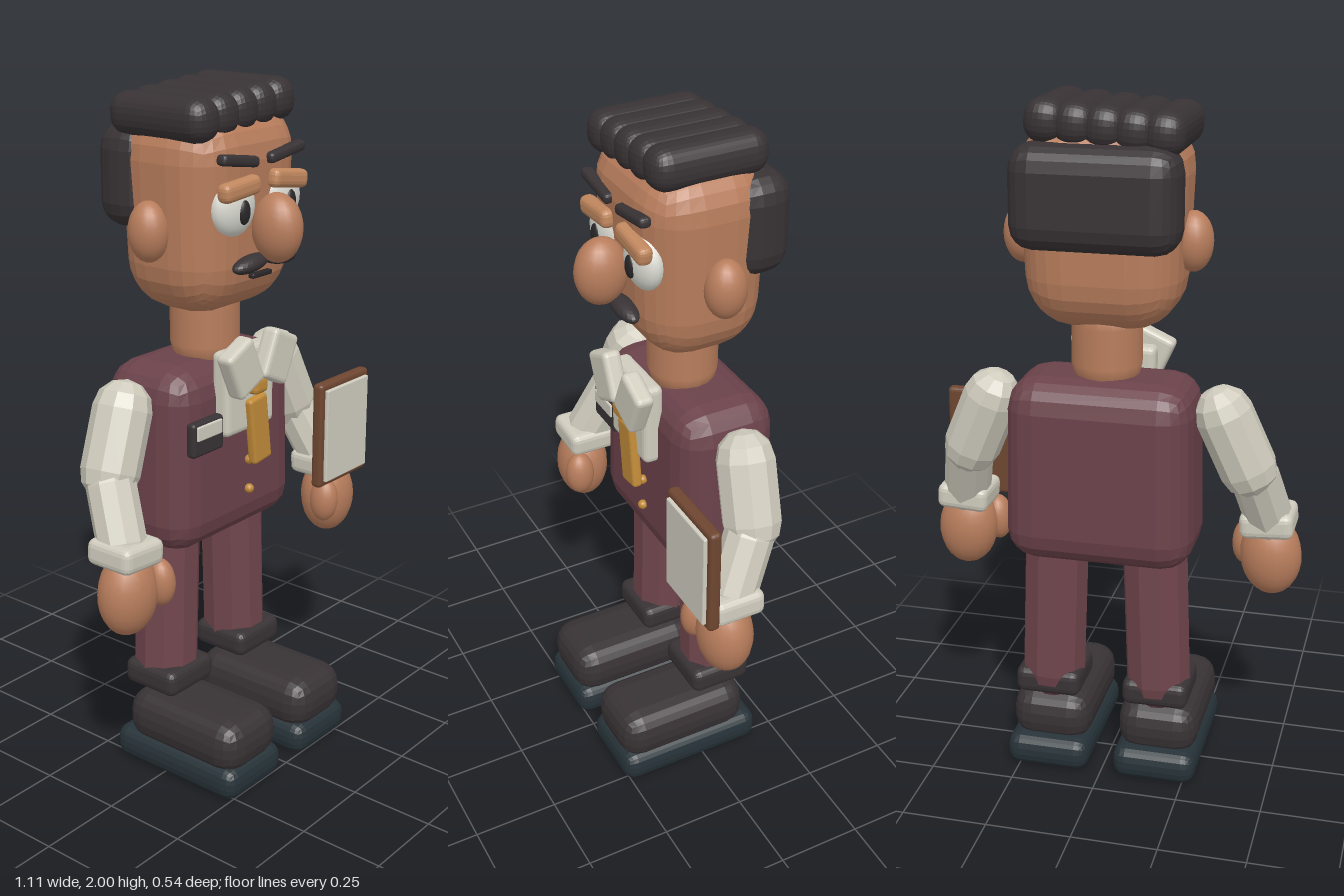
import * as THREE from 'three';
import { RoundedBoxGeometry } from 'three/addons/geometries/RoundedBoxGeometry.js';

const mat = (color, flatShading = true) => new THREE.MeshStandardMaterial({ color, flatShading });
const skin = mat(0xb87d5c), skinSmooth = mat(0xb87d5c, false), lid = mat(0xc0875e);
const vest = mat(0x6b424a), trousers = mat(0x70464d), shirt = mat(0xcfcbbd);
const dark = mat(0x383234), sole = mat(0x263238), gold = mat(0xc08a38);
const wood = mat(0x6e4630), paper = mat(0xd0ccc0);
const white = mat(0xdcdcd4, false), black = mat(0x2a2628, false);

export function createModel() {
  const model = new THREE.Group();

  const add = (parent, name, geometry, material, pos, rot = [0, 0, 0]) => {
    const mesh = new THREE.Mesh(geometry, material);
    mesh.name = name;
    mesh.position.set(...pos);
    mesh.rotation.set(...rot);
    parent.add(mesh);
    return mesh;
  };
  const box = (parent, name, material, size, radius, pos, rot, segments = 2) =>
    add(parent, name, new RoundedBoxGeometry(...size, segments, radius), material, pos, rot);
  const ball = (parent, name, material, radii, pos, rot) =>
    add(parent, name, new THREE.SphereGeometry(1, 20, 14).scale(...radii), material, pos, rot);
  // Capsule whose end spheres are centred on a and b
  const limb = (parent, name, material, radius, a, b, sides = 10) => {
    const p = new THREE.Vector3(...a), q = new THREE.Vector3(...b);
    const geometry = new THREE.CapsuleGeometry(radius, p.distanceTo(q), 3, sides);
    const mesh = add(parent, name, geometry, material, p.clone().add(q).multiplyScalar(0.5).toArray());
    mesh.quaternion.setFromUnitVectors(new THREE.Vector3(0, 1, 0), q.sub(p).normalize());
    return mesh;
  };
  // Scale x and z linearly from the bottom to the top of a geometry
  const taper = (geometry, low, high) => {
    geometry.computeBoundingBox();
    const { min, max } = geometry.boundingBox, p = geometry.attributes.position;
    for (let i = 0; i < p.count; i++) {
      const s = THREE.MathUtils.lerp(low, high, (p.getY(i) - min.y) / (max.y - min.y));
      p.setX(i, p.getX(i) * s);
      p.setZ(i, p.getZ(i) * s);
    }
    geometry.computeVertexNormals();
    return geometry;
  };

  // Legs, arms: the same on both sides
  for (const [side, s] of [['right', -1], ['left', 1]]) {
    const leg = new THREE.Group();
    leg.name = side + 'Leg';
    model.add(leg);
    box(leg, 'shoeSole', sole, [0.25, 0.1, 0.455], 0.04, [s * 0.163, 0.052, 0.042]);
    box(leg, 'shoeUpper', dark, [0.24, 0.16, 0.415], 0.065, [s * 0.163, 0.152, 0.058]);
    limb(leg, 'trouserLeg', trousers, 0.095, [s * 0.16, 0.31, -0.083], [s * 0.146, 0.72, -0.083]);
    box(leg, 'trouserCuff', dark, [0.195, 0.08, 0.19], 0.025, [s * 0.162, 0.285, -0.07]);

    const arm = new THREE.Group();
    arm.name = side + 'Arm';
    model.add(arm);
    limb(arm, 'upperSleeve', shirt, 0.083, [s * 0.335, 1.145, -0.075], [s * 0.405, 0.985, -0.06]);
    limb(arm, 'lowerSleeve', shirt, 0.07, [s * 0.42, 0.96, -0.045], [s * 0.455, 0.81, 0.025]);
    box(arm, 'sleeveCuff', shirt, [0.155, 0.075, 0.155], 0.022, [s * 0.455, 0.797, 0.037], [0, 0, s * 0.06]);
    ball(arm, 'hand', skinSmooth, [0.09, 0.122, 0.078], [s * 0.463, 0.682, 0.05], [0, 0, s * 0.08]);
    ball(arm, 'thumb', skinSmooth, [0.04, 0.07, 0.045], [s * 0.382, 0.697, 0.095], [0, 0, s * -0.05]);
  }

  // Torso and waistcoat details
  const torso = taper(new RoundedBoxGeometry(0.54, 0.54, 0.31, 2, 0.09), 1.01, 0.97);
  add(model, 'waistcoat', torso, vest, [0, 0.97, -0.082]);
  box(model, 'shirtFront', shirt, [0.215, 0.245, 0.06], 0.018, [-0.003, 1.157, 0.08]);
  for (const s of [-1, 1]) {
    box(model, 'collarFlap', shirt, [0.115, 0.145, 0.055], 0.015, [s * 0.077, 1.24, 0.13], [0, 0, -s * 0.43]);
  }
  box(model, 'tieKnot', gold, [0.062, 0.05, 0.045], 0.015, [0, 1.173, 0.125]);
  box(model, 'tie', gold, [0.078, 0.2, 0.03], 0.01, [0.02, 1.035, 0.115], [0, 0, 0.13]);
  for (const y of [0.84, 0.93]) ball(model, 'button', gold, [0.014, 0.014, 0.014], [0.027, y, 0.08]);
  box(model, 'badge', dark, [0.13, 0.1, 0.03], 0.01, [-0.177, 1.06, 0.085]);
  box(model, 'badgeLabel', paper, [0.105, 0.042, 0.01], 0.004, [-0.177, 1.08, 0.101]);

  // Clipboard in front of the left hand
  const clipboard = new THREE.Group();
  clipboard.name = 'clipboard';
  model.add(clipboard);
  box(clipboard, 'board', wood, [0.245, 0.328, 0.036], 0.012, [0.415, 0.932, 0.124]);
  box(clipboard, 'paperSheet', paper, [0.21, 0.29, 0.014], 0.004, [0.415, 0.932, 0.146]);

  // Neck and head
  limb(model, 'neck', skinSmooth, 0.1, [0, 1.27, -0.062], [0, 1.38, -0.062], 16);
  const head = new THREE.Group();
  head.name = 'head';
  model.add(head);
  const skull = new RoundedBoxGeometry(0.46, 0.56, 0.37, 3, 0.14);
  add(head, 'skull', taper(skull, 0.92, 1.02), skin, [0, 1.66, -0.05]);
  for (const s of [-1, 1]) {
    ball(head, 'ear', skinSmooth, [0.055, 0.083, 0.058], [s * 0.237, 1.62, -0.057]);
    ball(head, 'eye', white, [0.08, 0.082, 0.045], [0.008 + s * 0.1, 1.685, 0.11]);
    ball(head, 'pupil', black, [0.021, 0.033, 0.012], [0.009 + s * 0.1, 1.675, 0.151]);
    box(head, 'eyelid', lid, [0.15, 0.052, 0.045], 0.018, [0.005 + s * 0.104, 1.737, 0.14], [0, 0, s < 0 ? 0.08 : -0.14]);
    box(head, 'eyebrow', dark, [0.152, 0.03, 0.035], 0.012, [s * 0.1, 1.81, 0.137], [0, 0, s < 0 ? -0.15 : 0.14]);
    ball(head, 'moustacheHalf', dark, [0.07, 0.023, 0.03], [0.002 + s * 0.062, 1.532, 0.148], [0, 0, -s * 0.12]);
  }
  ball(head, 'nose', skinSmooth, [0.061, 0.095, 0.075], [0.008, 1.623, 0.185]);
  box(head, 'mouth', black, [0.085, 0.014, 0.02], 0.005, [0.01, 1.488, 0.127]);

  // Hair: a block at the back and a row of rolls on top, rising to the left
  box(head, 'backHair', dark, [0.465, 0.285, 0.175], 0.07, [0, 1.748, -0.183]);
  for (let i = 0; i < 5; i++) {
    box(head, 'hairRoll', dark, [0.112, 0.118, 0.335], 0.05,
      [-0.18 + i * 0.08, 1.917 + i * 0.006, -0.048], [0, 0, 0.07], 3);
  }
  return model;
}
